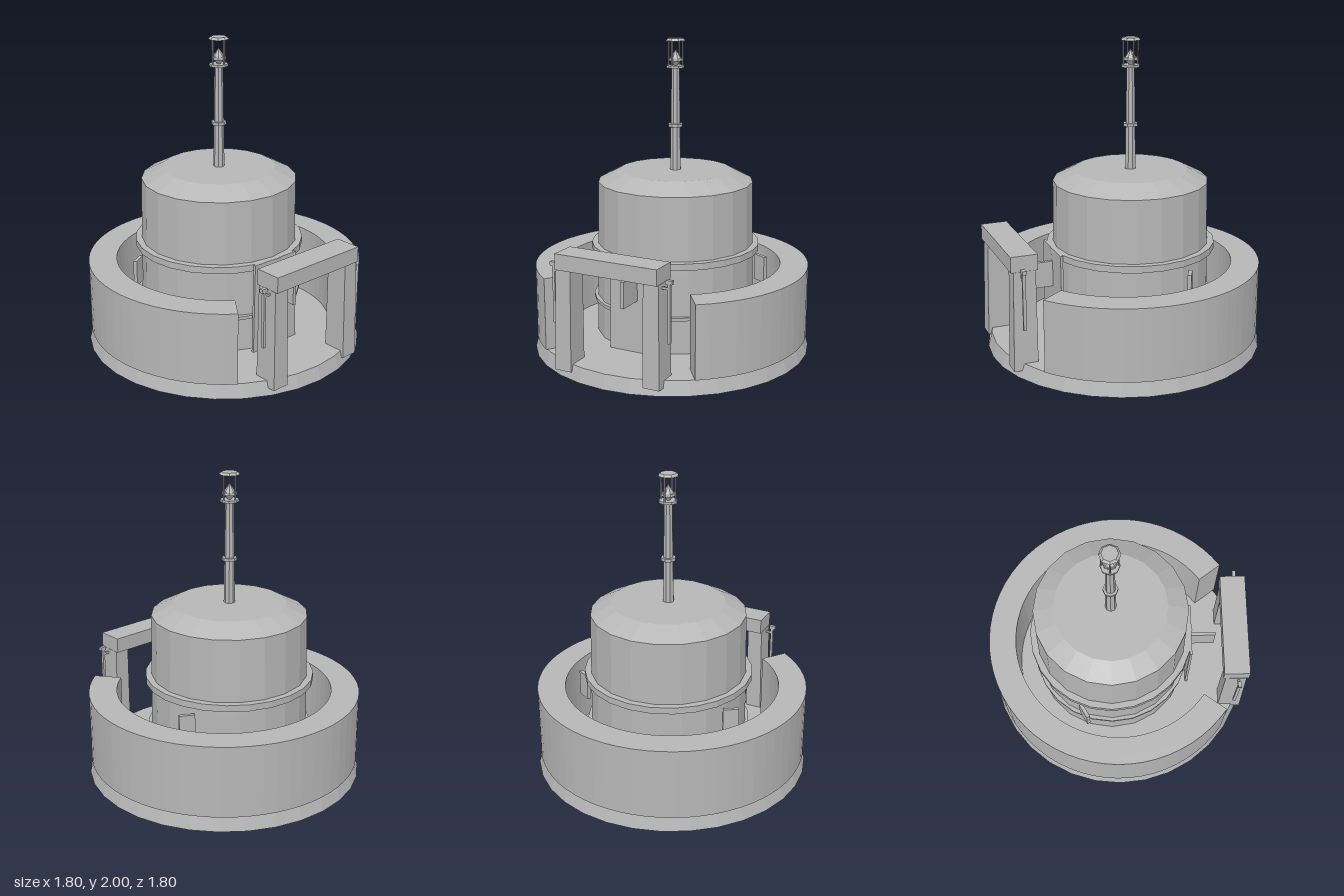
import * as THREE from 'three';

export function createModel() {
  const model = new THREE.Group();
  const stone = new THREE.MeshStandardMaterial({ color: 0xb6b6b6, side: THREE.DoubleSide, flatShading: true });
  stone.name = 'light grey';

  const add = (parent, name, geometry, x = 0, y = 0, z = 0) => {
    const mesh = new THREE.Mesh(geometry, stone);
    mesh.name = name;
    mesh.position.set(x, y, z);
    parent.add(mesh);
    return mesh;
  };
  const group = (name, z = 0) => {
    const g = new THREE.Group();
    g.name = name;
    g.position.z = z;
    model.add(g);
    return g;
  };
  // Upright cylinder or cone between two heights
  const round = (parent, name, rBottom, rTop, y0, y1, sides, open = false) =>
    add(parent, name, new THREE.CylinderGeometry(rTop, rBottom, y1 - y0, sides, 1, open), 0, (y0 + y1) / 2, 0);
  // Box given by its limits
  const block = (parent, name, x0, x1, y0, y1, z0, z1) =>
    add(parent, name, new THREE.BoxGeometry(x1 - x0, y1 - y0, z1 - z0), (x0 + x1) / 2, (y0 + y1) / 2, (z0 + z1) / 2);

  // Hollow sloping skirt with a floor
  const base = group('base');
  round(base, 'baseSkirt', 0.9, 0.875, 0, 0.09, 32, true);
  add(base, 'floor', new THREE.CircleGeometry(0.875, 32).rotateX(-Math.PI / 2), 0, 0.09, 0);

  // Ring wall, open at the front
  const a0 = -0.3 * Math.PI, a1 = 1.3 * Math.PI;
  const ring = new THREE.Shape();
  ring.absarc(0, 0, 0.887, a0, a1, false);
  ring.absarc(0, 0, 0.705, a1, a0, true);
  const wall = new THREE.ExtrudeGeometry(ring, { depth: 0.468, bevelEnabled: false, curveSegments: 26 });
  add(model, 'ringWall', wall.rotateX(-Math.PI / 2), 0, 0.092, 0);

  // Central drum with hoops
  const drum = group('drum', -0.05);
  const profile = [[0.515, 0.09], [0.508, 0.6], [0.5, 1.09], [0.365, 1.16], [0, 1.16]];
  add(drum, 'drumBody', new THREE.LatheGeometry(profile.map(p => new THREE.Vector2(...p)), 20));
  round(drum, 'upperHoop', 0.547, 0.547, 0.642, 0.685, 24);
  round(drum, 'lowerHoop', 0.535, 0.535, 0.312, 0.333, 24);

  // Mast and lantern
  const mast = group('mast', -0.05);
  round(mast, 'pole', 0.036, 0.027, 1.15, 1.815, 8);
  round(mast, 'collar', 0.048, 0.048, 1.438, 1.458, 8);
  round(mast, 'lanternBase', 0.06, 0.06, 1.815, 1.83, 8);
  round(mast, 'lampFoot', 0.008, 0.035, 1.825, 1.858, 8);
  round(mast, 'lampBand', 0.045, 0.045, 1.858, 1.876, 8);
  round(mast, 'lampTip', 0.038, 0, 1.876, 1.93, 8);
  round(mast, 'lanternRoof', 0.065, 0.05, 1.985, 2, 8);
  for (let i = 0; i < 4; i++) {
    const a = i * Math.PI / 2;
    const post = round(mast, 'lanternPost', 0.005, 0.005, 1.828, 1.987, 6);
    post.position.x = 0.05 * Math.cos(a);
    post.position.z = 0.05 * Math.sin(a);
  }

  // Door panel, narrowing upwards, and the fins around the drum
  const doorGeometry = new THREE.BoxGeometry(0.37, 0.605, 0.016);
  const dp = doorGeometry.attributes.position;
  for (let i = 0; i < dp.count; i++) if (dp.getY(i) > 0) dp.setX(i, dp.getX(i) * 0.95);
  add(model, 'door', doorGeometry, 0, 0.383, 0.483);
  block(model, 'frontFin', -0.012, 0.012, 0.43, 0.6, 0.485, 0.66);
  for (const s of [-1, 1]) {
    const fin = add(model, 'sideFin', new THREE.BoxGeometry(0.1, 0.17, 0.024), s * 0.53, 0.515, -0.235);
    fin.rotation.y = -s * Math.PI / 6;
  }

  // Gateway with tapered pillars and side rods
  const gate = group('gateway');
  block(gate, 'lintel', -0.345, 0.345, 0.685, 0.785, 0.69, 0.86);
  for (const s of [-1, 1]) {
    const geometry = new THREE.BoxGeometry(0.1, 0.64, 0.14);
    const p = geometry.attributes.position;
    for (let i = 0; i < p.count; i++) {
      const low = p.getY(i) < 0;
      if (low && p.getX(i) * s > 0) p.setX(i, p.getX(i) + s * 0.012);
      if (low && p.getZ(i) > 0) p.setZ(i, p.getZ(i) + 0.015);
    }
    add(gate, 'pillar', geometry, s * 0.297, 0.366, 0.775);
    add(gate, 'sideRod', new THREE.BoxGeometry(0.016, 0.37, 0.02), s * 0.392, 0.51, 0.795);
    add(gate, 'rodCap', new THREE.BoxGeometry(0.04, 0.024, 0.024), s * 0.395, 0.7, 0.795);
    add(gate, 'rodBracket', new THREE.BoxGeometry(0.055, 0.014, 0.014), s * 0.365, 0.66, 0.795);
  }
  return model;
}
